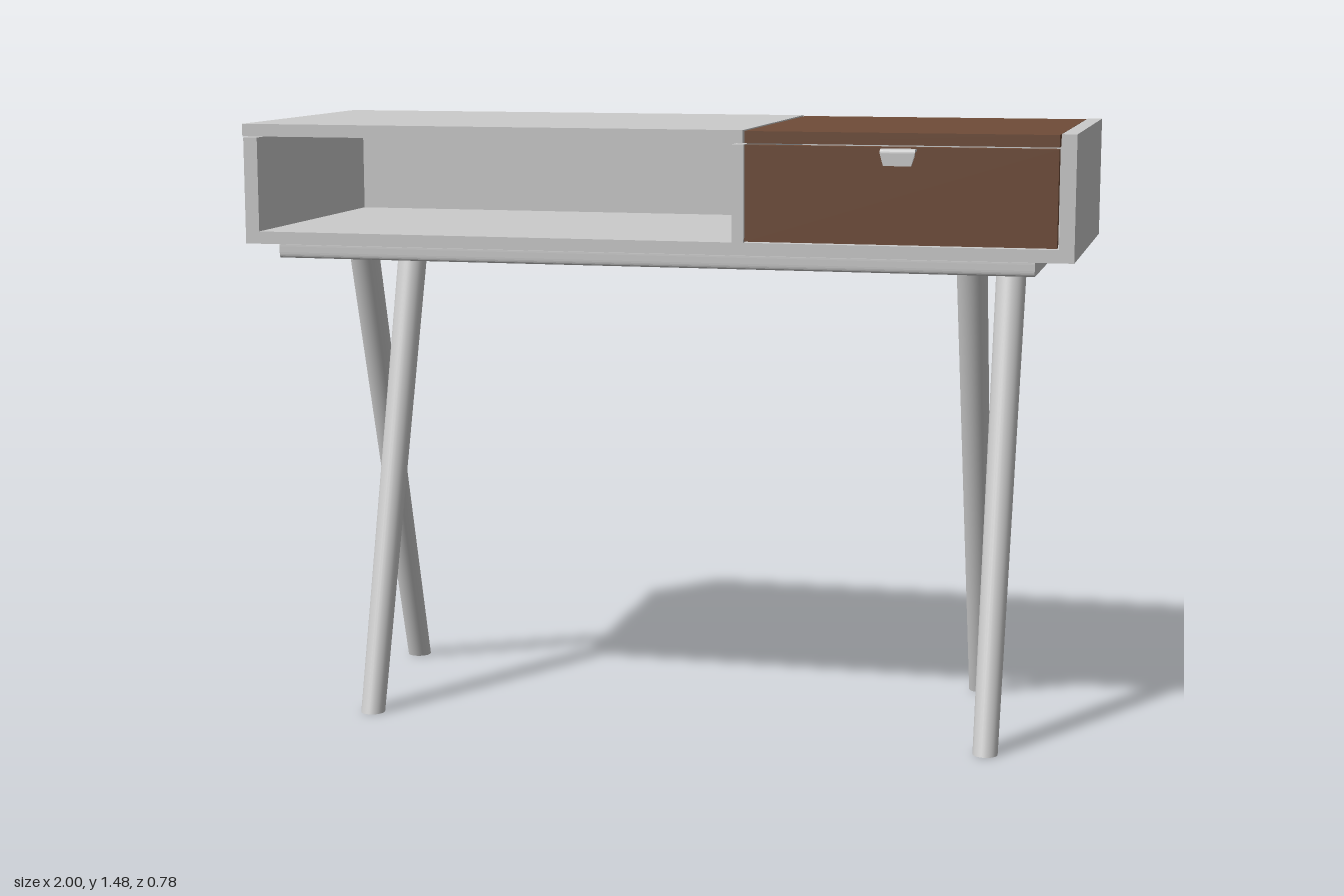
import * as THREE from 'three';

const grey = new THREE.MeshStandardMaterial({ color: 0xcccccc });
grey.name = 'pale grey';
const brown = new THREE.MeshStandardMaterial({ color: 0x6f4c38 });
brown.name = 'walnut brown';

// Box given by its limits on each axis
function box(name, mat, [x0, x1], [y0, y1], [z0, z1]) {
  const mesh = new THREE.Mesh(new THREE.BoxGeometry(x1 - x0, y1 - y0, z1 - z0), mat);
  mesh.position.set((x0 + x1) / 2, (y0 + y1) / 2, (z0 + z1) / 2);
  mesh.name = name;
  return mesh;
}

// Profile drawn in (z, y) and extruded along x
function extrudeX(name, mat, shape, x0, x1) {
  const geo = new THREE.ExtrudeGeometry(shape, { depth: x1 - x0, bevelEnabled: false, curveSegments: 6 });
  geo.rotateY(-Math.PI / 2);
  geo.translate(x1, 0, 0);
  const mesh = new THREE.Mesh(geo, mat);
  mesh.name = name;
  return mesh;
}

// Slanted tapered leg with level ends
function leg(name, x, zBottom, zTop) {
  const h = 1.145;
  const geo = new THREE.CylinderGeometry(0.037, 0.03, h, 32);
  geo.translate(0, h / 2, 0);
  const slope = (zTop - zBottom) / h;
  geo.applyMatrix4(new THREE.Matrix4().set(
    1, 0, 0, x,
    0, 1, 0, 0,
    0, slope, 1, zBottom,
    0, 0, 0, 1));
  const mesh = new THREE.Mesh(geo, grey);
  mesh.name = name;
  return mesh;
}

export function createModel() {
  const desk = new THREE.Group();
  desk.name = 'desk';

  // Case
  const back = -0.385, front = 0.355;
  desk.add(
    box('bottomPanel', grey, [-1, 1], [1.185, 1.215], [back, front]),
    box('leftEndPanel', grey, [0.965, 1], [1.215, 1.475], [back, front]),
    box('rightEndPanel', grey, [-1, -0.965], [1.215, 1.442], [back, front]),
    box('divider', grey, [0.21, 0.238], [1.215, 1.442], [back + 0.02, front]),
    box('backPanel', grey, [-0.965, 0.965], [1.215, 1.442], [back, back + 0.02])
  );

  // Lids
  desk.add(
    box('greyLid', grey, [-1, 0.236], [1.445, 1.475], [-0.39, 0.36]),
    box('brownLid', brown, [0.24, 0.961], [1.445, 1.473], [-0.388, 0.355])
  );

  // Lid hinges at the back of the open compartment
  for (const x of [-0.86, -0.36, 0.13]) {
    desk.add(box('hinge', grey, [x - 0.012, x + 0.012], [1.42, 1.446], [-0.366, -0.355]));
  }

  // Drawer
  desk.add(box('drawerFront', brown, [0.241, 0.961], [1.218, 1.441], [0.33, 0.358]));

  // Bent tab pull
  const tab = new THREE.Shape();
  tab.moveTo(0.355, 1.432);
  tab.lineTo(0.377, 1.432);
  tab.quadraticCurveTo(0.384, 1.432, 0.384, 1.424);
  tab.lineTo(0.384, 1.4);
  tab.lineTo(0.39, 1.4);
  tab.lineTo(0.39, 1.428);
  tab.quadraticCurveTo(0.39, 1.438, 0.38, 1.438);
  tab.lineTo(0.355, 1.438);
  const pull = extrudeX('drawerPull', grey, tab, 0.56, 0.64);
  // Narrow the lower edge of the tab
  const p = pull.geometry.attributes.position;
  for (let i = 0; i < p.count; i++) {
    if (p.getY(i) < 1.405) p.setX(i, 0.6 + (p.getX(i) - 0.6) * 0.8);
  }
  pull.geometry.computeVertexNormals();
  desk.add(pull);

  // Under-frame board with eased long edges
  const y0 = 1.143, y1 = 1.185, z0 = -0.296, z1 = 0.272, e = 0.007;
  const board = new THREE.Shape();
  board.moveTo(z0 + e, y0);
  board.lineTo(z1 - e, y0);
  board.quadraticCurveTo(z1, y0, z1, y0 + 2 * e);
  board.lineTo(z1, y1 - 2 * e);
  board.quadraticCurveTo(z1, y1, z1 - e, y1);
  board.lineTo(z0 + e, y1);
  board.quadraticCurveTo(z0, y1, z0, y1 - 2 * e);
  board.lineTo(z0, y0 + 2 * e);
  board.quadraticCurveTo(z0, y0, z0 + e, y0);
  desk.add(extrudeX('underFrame', grey, board, -0.948, 0.904));

  // Two crossed pairs of legs
  for (const x of [-0.73, 0.813]) desk.add(leg('frontLeg', x, 0.268, -0.094));
  for (const x of [-0.805, 0.735]) desk.add(leg('backLeg', x, -0.296, 0.066));

  return desk;
}
